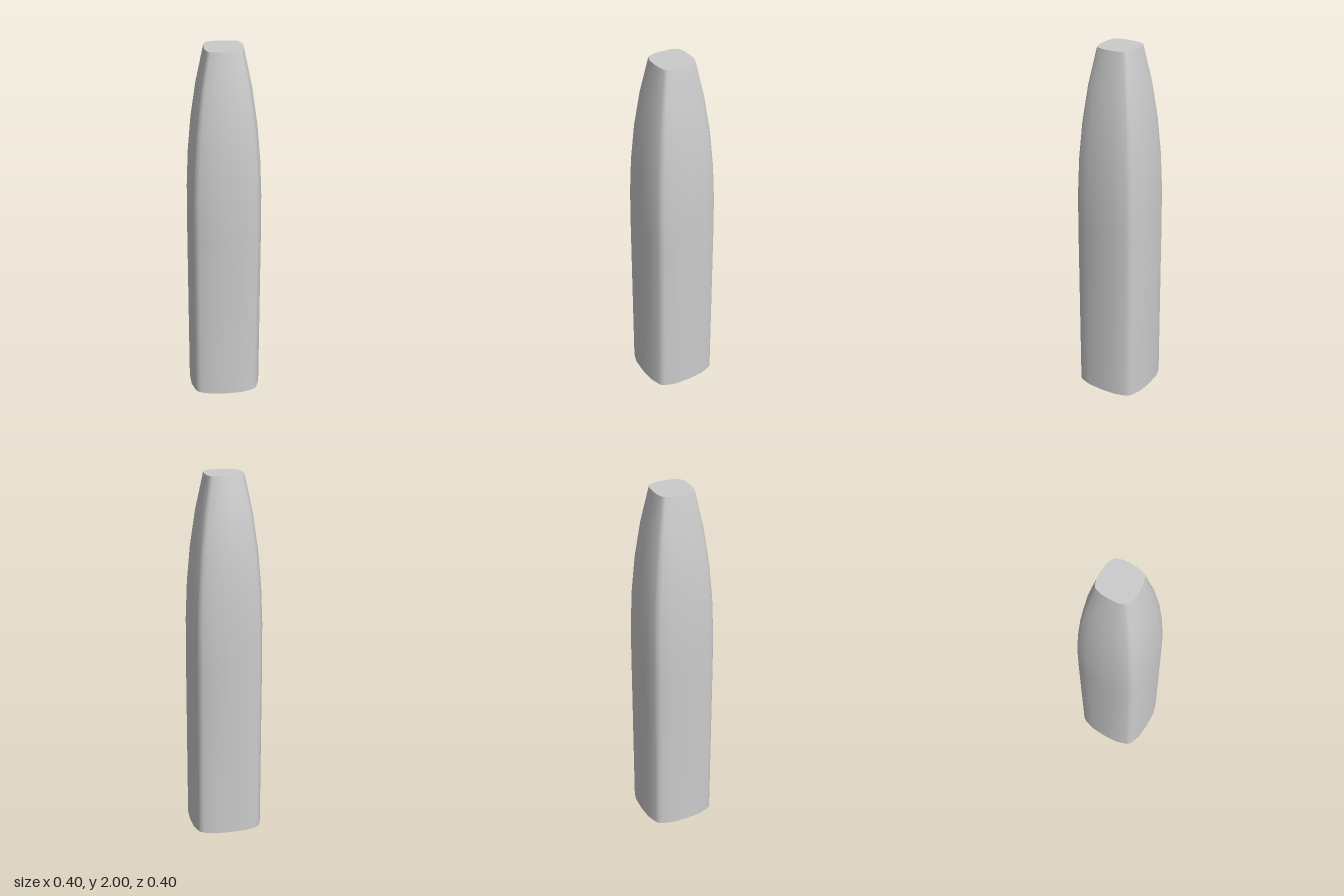
import * as THREE from 'three';

// One eighth of the rounded-square section, from mid-side to corner
const EIGHTH = [[0.2, 0], [0.195, 0.089], [0.176, 0.148], [0.165, 0.165]];

// Full section: mirror the eighth into a quarter, then turn it four times
function section() {
  const quarter = [...EIGHTH, ...EIGHTH.slice(1, 3).reverse().map(([a, b]) => [b, a])];
  const points = [];
  for (let k = 0; k < 4; k++) {
    const c = [1, 0, -1, 0][k], s = [0, 1, 0, -1][k];
    for (const [a, b] of quarter) points.push([a * c - b * s, a * s + b * c]);
  }
  return points;
}

// Straight below y = 1, then curving in towards the top
const widthAt = (y) => 1 - 0.49 * Math.pow(Math.max(0, y - 1), 2.5);

export function createModel() {
  const group = new THREE.Group();
  const material = new THREE.MeshStandardMaterial({ color: 0xcccccc, side: THREE.DoubleSide });
  const ring = section();
  const n = ring.length;

  // Tapered shell, open at the bottom
  const heights = [0, 1, 1.2, 1.4, 1.6, 1.8, 2];
  const positions = [], index = [];
  heights.forEach((y, j) => {
    const w = widthAt(y);
    ring.forEach(([x, z], i) => {
      positions.push(x * w, y, z * w);
      if (j === 0) return;
      const next = (i + 1) % n;
      const a = (j - 1) * n + i, b = (j - 1) * n + next;
      index.push(a, a + n, b, b, a + n, b + n);
    });
  });
  const shellGeometry = new THREE.BufferGeometry();
  shellGeometry.setAttribute('position', new THREE.Float32BufferAttribute(positions, 3));
  shellGeometry.setIndex(index);
  shellGeometry.computeVertexNormals();
  const shell = new THREE.Mesh(shellGeometry, material);
  shell.name = 'taperedShell';
  group.add(shell);

  // Flat cap closing the narrow end
  const w = widthAt(2);
  const outline = new THREE.Shape(ring.map(([x, z]) => new THREE.Vector2(x * w, -z * w)));
  const capGeometry = new THREE.ShapeGeometry(outline);
  capGeometry.rotateX(-Math.PI / 2);
  const cap = new THREE.Mesh(capGeometry, material);
  cap.name = 'topCap';
  cap.position.y = 2;
  group.add(cap);

  return group;
}
